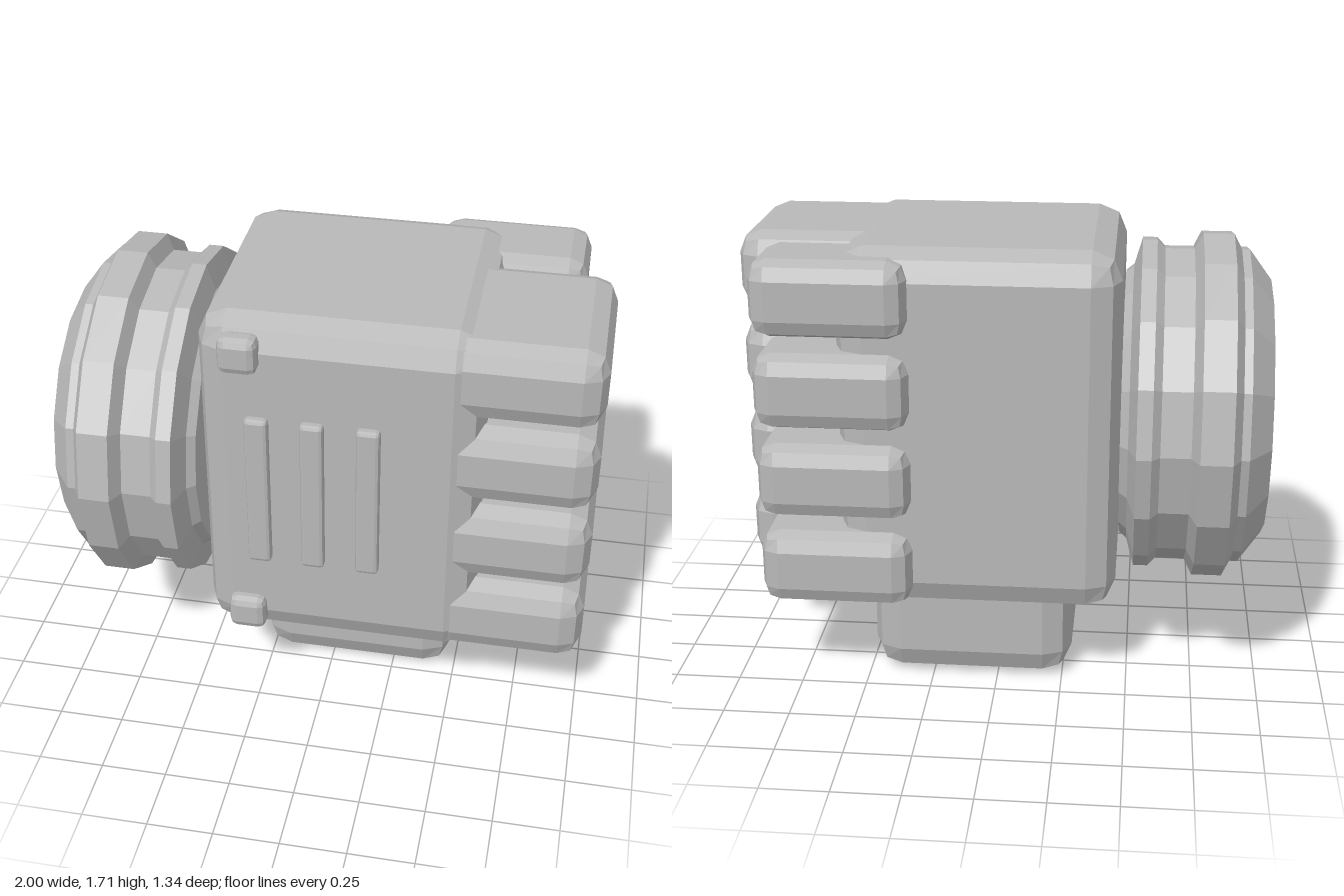
import * as THREE from 'three';

const grey = new THREE.MeshStandardMaterial({ color: 0xb8b8b8, flatShading: true });
grey.name = 'plain grey';

// Box between two corners, every edge rounded with a two-step bevel of radius r
function bevelBox(name, [x0, x1], [y0, y1], [z0, z1], r) {
  const half = [(x1 - x0) / 2, (y1 - y0) / 2, (z1 - z0) / 2];
  const geo = new THREE.BoxGeometry(2, 2, 2, 3, 3, 3);
  const pos = geo.attributes.position;
  const dir = new THREE.Vector3();
  for (let i = 0; i < pos.count; i++) {
    const c = [pos.getX(i), pos.getY(i), pos.getZ(i)];
    dir.set(...c.map(v => (Math.abs(v) > 0.9 ? Math.sign(v) : 0))).setLength(r);
    const core = c.map((v, k) => Math.sign(v) * (half[k] - r));
    pos.setXYZ(i, core[0] + dir.x, core[1] + dir.y, core[2] + dir.z);
  }
  geo.computeVertexNormals();
  const mesh = new THREE.Mesh(geo, grey);
  mesh.name = name;
  mesh.position.set((x0 + x1) / 2, (y0 + y1) / 2, (z0 + z1) / 2);
  return mesh;
}

export function createModel() {
  const hand = new THREE.Group();
  hand.name = 'mechanicalFist';

  hand.add(bevelBox('palm', [-0.45, 0.59], [0.325, 1.71], [-0.49, 0.485], 0.11));
  hand.add(bevelBox('thumb', [-0.285, 0.485], [0, 0.5], [-0.415, 0.245], 0.11));

  // Four curled fingers, each a knuckle segment and a fingertip folded behind
  for (let i = 0; i < 4; i++) {
    const y = 0.497 + i * 0.348;
    const finger = new THREE.Group();
    finger.name = 'finger' + (i + 1);
    finger.add(bevelBox('knuckle', [0.42, 1], [y - 0.152, y + 0.152], [-0.187, 0.477], 0.085));
    finger.add(bevelBox('fingertip', [0.31, 0.88], [y - 0.143, y + 0.143], [-0.565, -0.19], 0.07));
    hand.add(finger);
  }

  // Raised ribs and studs on the back of the hand
  for (const x of [-0.222, -0.02, 0.185])
    hand.add(bevelBox('rib', [x - 0.043, x + 0.043], [0.7, 1.337], [0.44, 0.518], 0.014));
  for (const y of [0.44, 1.6])
    hand.add(bevelBox('stud', [-0.35, -0.207], [y - 0.07, y + 0.07], [0.44, 0.535], 0.03));

  // Sixteen-sided wrist cuff turned around the x axis: [x, radius]
  const profile = [
    [-1, 0], [-1, 0.495], [-0.915, 0.61], [-0.885, 0.61], [-0.855, 0.668],
    [-0.74, 0.668], [-0.71, 0.608], [-0.6, 0.608], [-0.57, 0.64], [-0.515, 0.64],
    [-0.485, 0.535], [-0.455, 0.51], [-0.455, 0.42], [-0.5, 0.4], [-0.5, 0],
  ].map(([x, r]) => new THREE.Vector2(r, x));
  const cuff = new THREE.Mesh(new THREE.LatheGeometry(profile, 16), grey);
  cuff.name = 'wristCuff';
  cuff.rotation.z = -Math.PI / 2;
  cuff.position.y = 1.02;
  hand.add(cuff);

  return hand;
}
